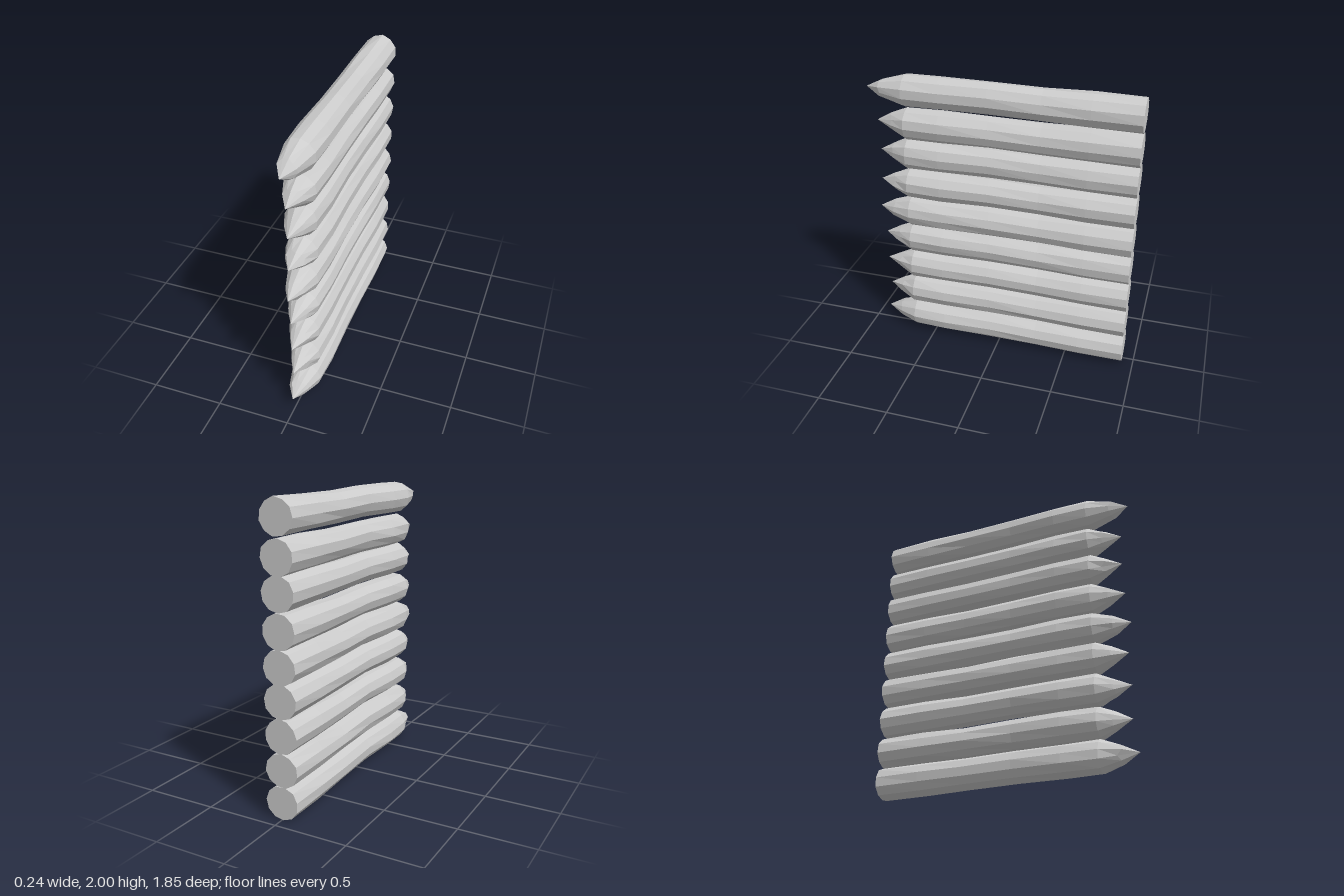
import * as THREE from 'three';

const SIDES = 11;
// Per stake: centre height, tip z
const STAKES = [
  [0.115, 0.89], [0.332, 0.86], [0.555, 0.87], [0.778, 0.865], [0.99, 0.895],
  [1.21, 0.87], [1.438, 0.86], [1.652, 0.87], [1.885, 0.93],
];
// Rings from the sawn end to the shoulder: z, half width, half height, x shift, y shift
const RINGS = [
  [-0.92, 0.115, 0.113, -0.002, -0.004],
  [-0.6, 0.117, 0.111, 0, -0.003],
  [-0.28, 0.109, 0.104, 0, -0.003],
  [0.07, 0.104, 0.105, 0.006, 0.004],
  [0.41, 0.114, 0.108, 0.002, 0],
  [0.65, 0.106, 0.108, 0.002, 0],
];

function seeded(seed) {
  let s = seed;
  return () => (s = (s * 16807) % 2147483647) / 2147483647;
}

// Rough trunk lofted through the rings, closed by a flat back and a carved point
function stakeGeometry(tipZ, seed) {
  const rand = seeded(seed);
  const turn = rand() * Math.PI * 2;
  const rings = [...RINGS, [tipZ - 0.115, 0.064, 0.062, 0, 0]];
  const pos = [];
  const index = [];
  rings.forEach(([z, w, h, dx, dy], r) => {
    for (let j = 0; j < SIDES; j++) {
      const a = turn + (j / SIDES) * Math.PI * 2;
      const k = 0.975 + rand() * 0.06;
      const dz = r === rings.length - 1 ? (rand() - 0.5) * 0.03 : 0;
      pos.push(dx + Math.cos(a) * w * k, dy + Math.sin(a) * h * k, z + dz);
    }
  });
  const last = rings.length - 1;
  const tip = rings.length * SIDES;
  pos.push(0, 0, tipZ, 0, 0, RINGS[0][0]);
  for (let j = 0; j < SIDES; j++) {
    const n = (j + 1) % SIDES;
    for (let r = 0; r < last; r++) {
      const a = r * SIDES + j, b = r * SIDES + n;
      index.push(a, b, b + SIDES, a, b + SIDES, a + SIDES);
    }
    index.push(last * SIDES + j, last * SIDES + n, tip);
    index.push(n, j, tip + 1);
  }
  const geo = new THREE.BufferGeometry();
  geo.setAttribute('position', new THREE.Float32BufferAttribute(pos, 3));
  geo.setIndex(index);
  geo.computeVertexNormals();
  return geo;
}

export function createModel() {
  const group = new THREE.Group();
  group.name = 'palisade';
  const wood = new THREE.MeshStandardMaterial({ color: 0xcccccc, flatShading: true });
  STAKES.forEach(([y, tipZ], i) => {
    const stake = new THREE.Mesh(stakeGeometry(tipZ, 1237 + i * 7919), wood);
    stake.name = `stake${i + 1}`;
    stake.position.y = y;
    group.add(stake);
  });
  // Rest the lowest stake on the ground
  const box = new THREE.Box3().setFromObject(group, true);
  group.children.forEach((stake) => { stake.position.y -= box.min.y; });
  return group;
}
